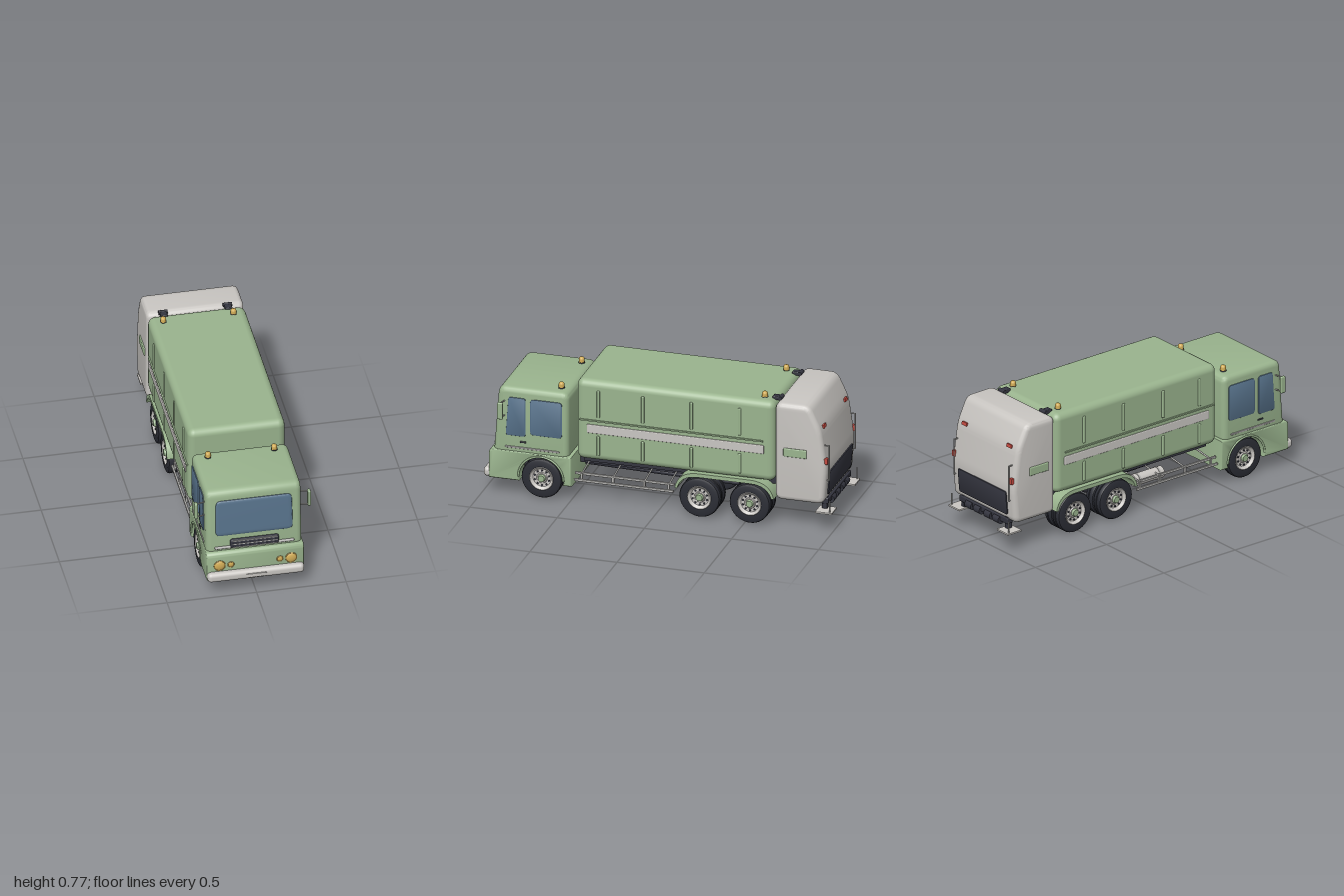
import * as THREE from 'three';
import { toCreasedNormals } from 'three/addons/utils/BufferGeometryUtils.js';
import { RoundedBoxGeometry } from 'three/addons/geometries/RoundedBoxGeometry.js';

const paint = (name, color) => {
  const m = new THREE.MeshStandardMaterial({ color });
  m.name = name;
  return m;
};

export function createModel() {
  const green = paint('green paint', 0x9ab48e), gray = paint('light gray paint', 0xc9c6c2);
  const glass = paint('blue glass', 0x58738c), dark = paint('dark chassis', 0x34353f);
  const rubber = paint('tyre rubber', 0x2b2d35), amber = paint('amber lamp', 0xd3ad57);
  const red = paint('red lamp', 0xc44a40), steel = paint('steel', 0xb2b1ae);

  const truck = new THREE.Group();
  truck.name = 'refuseTruck';
  const add = (name, geo, mat, x = 0, y = 0, z = 0, parent = truck) => {
    const mesh = new THREE.Mesh(geo, mat);
    mesh.name = name;
    mesh.position.set(x, y, z);
    parent.add(mesh);
    return mesh;
  };
  const box = (name, mat, w, h, d, x, y, z, r = 0) => add(name,
    r ? new RoundedBoxGeometry(w, h, d, 3, r) : new THREE.BoxGeometry(w, h, d), mat, x, y, z);
  // Cylinder between two points
  const rod = (name, mat, r, a, b, sides = 12) => {
    const p = new THREE.Vector3(...a), q = new THREE.Vector3(...b), d = q.clone().sub(p);
    const mesh = add(name, new THREE.CylinderGeometry(r, r, d.length(), sides), mat);
    mesh.position.copy(p.add(q).multiplyScalar(0.5));
    mesh.quaternion.setFromUnitVectors(new THREE.Vector3(0, 1, 0), d.normalize());
    return mesh;
  };
  // Polygon with softened corners
  const rounded = (pts, r) => {
    const s = new THREE.Shape(), v = pts.map(p => new THREE.Vector2(...p)), n = v.length;
    v.forEach((p, i) => {
      const toward = q => p.clone().add(q.clone().sub(p).setLength(Math.min(r, p.distanceTo(q) * 0.49)));
      const a = toward(v[(i + n - 1) % n]), b = toward(v[(i + 1) % n]);
      if (i) s.lineTo(a.x, a.y); else s.moveTo(a.x, a.y);
      s.quadraticCurveTo(p.x, p.y, b.x, b.y);
    });
    s.closePath();
    return s;
  };
  const slab = (shape, depth, bt, bs = bt) => {
    const g = new THREE.ExtrudeGeometry(shape, { depth: depth - 2 * bt, bevelEnabled: bt > 0, bevelThickness: bt,
      bevelSize: bs, bevelOffset: -bs, bevelSegments: 4, curveSegments: 8 });
    g.translate(0, 0, bt - depth / 2);
    return toCreasedNormals(g, 0.7);
  };
  // Side profile in (z, y), extruded across x
  const across = (name, mat, shape, width, bevel, x = 0) =>
    add(name, slab(shape, width, bevel).rotateY(-Math.PI / 2), mat, x);
  const rect = (w, h) => [[-w / 2, -h / 2], [w / 2, -h / 2], [w / 2, h / 2], [-w / 2, h / 2]];
  // Plate lying on a sloped face
  const plate = (name, mat, pts, r, depth, bt, bs, pos, normal) => {
    const mesh = add(name, slab(rounded(pts, r), depth, bt, bs), mat, ...pos);
    mesh.lookAt(mesh.position.clone().add(new THREE.Vector3(...normal)));
    return mesh;
  };
  const sides = [1, -1];

  // Cab
  across('upperCab', green, rounded([[0.51, 0.23], [0.942, 0.23], [0.912, 0.637], [0.51, 0.637]], 0.045), 0.534, 0.03);
  const lower = new THREE.Shape();
  lower.moveTo(0.966, 0.09);
  lower.lineTo(0.966, 0.235);
  lower.quadraticCurveTo(0.962, 0.265, 0.935, 0.265);
  lower.lineTo(0.49, 0.265);
  lower.lineTo(0.49, 0.09);
  lower.lineTo(0.54, 0.09);
  lower.absarc(0.665, 0.118, 0.128, Math.PI + 0.22, -0.22, true);
  lower.closePath();
  across('lowerCab', green, lower, 0.546, 0.012);
  const slope = [0, 0.03, 0.407];
  plate('windscreen', glass, [[-0.216, -0.111], [0.216, -0.111], [0.212, 0.111], [-0.212, 0.111]], 0.03, 0.016,
    0.007, 0.022, [0, 0.468, 0.925], slope);
  box('frontTrim', steel, 0.444, 0.015, 0.02, 0, 0.283, 0.938, 0.006);
  box('grille', dark, 0.272, 0.056, 0.03, 0, 0.303, 0.937, 0.013);
  for (const y of [0.284, 0.304, 0.324]) box('grilleBar', steel, 0.25, 0.005, 0.006, 0, y, 0.951);
  box('frontBumper', gray, 0.54, 0.056, 0.06, 0, 0.118, 0.968, 0.022);
  plate('blankPlate', gray, rect(0.114, 0.024), 0.006, 0.008, 0.002, 0.002, [0, 0.117, 0.997], [0, 0, 1]);
  box('engineBlock', dark, 0.34, 0.15, 0.3, 0, 0.175, 0.665, 0.01);

  const lamp = (name, r, x, y) => {
    const m = add(name, new THREE.SphereGeometry(r, 24, 8, 0, Math.PI * 2, 0, Math.PI / 2), amber, x, y, 0.965);
    m.rotation.x = Math.PI / 2;
    m.scale.y = 0.4;
    const ring = add('lampRing', new THREE.TorusGeometry(r, 0.0025, 8, 24), amber, x, y, 0.967);
    ring.name = name + 'Ring';
  };
  const beaconShape = [[0.016, 0], [0.016, 0.018], [0.014, 0.026], [0.008, 0.031], [0, 0.032]].map(p => new THREE.Vector2(...p));
  const beacon = (x, y, z) => {
    add('beaconBase', new THREE.CylinderGeometry(0.018, 0.018, 0.008, 16), dark, x, y + 0.002, z);
    add('beacon', new THREE.LatheGeometry(beaconShape, 20), amber, x, y + 0.004, z);
  };

  for (const s of sides) {
    lamp('headlight', 0.031, s * 0.2, 0.183);
    lamp('foglight', 0.017, s * 0.137, 0.183);
    beacon(s * 0.185, 0.636, 0.573);
    beacon(s * 0.196, 0.733, -0.597);
    // Doors
    across('frontSideWindow', glass, rounded([[0.753, 0.355], [0.867, 0.355], [0.852, 0.581], [0.753, 0.581]], 0.016), 0.012, 0.003, s * 0.266);
    across('rearSideWindow', glass, rounded([[0.544, 0.37], [0.727, 0.37], [0.727, 0.581], [0.544, 0.581]], 0.022), 0.012, 0.003, s * 0.266);
    box('doorHandle', dark, 0.012, 0.009, 0.036, s * 0.267, 0.322, 0.768, 0.003);
    box('doorTrim', steel, 0.01, 0.011, 0.31, s * 0.267, 0.286, 0.715, 0.004);
    const arch = add('wheelArchLip', new THREE.TorusGeometry(0.129, 0.006, 8, 32, Math.PI), green, s * 0.272, 0.118, 0.665);
    arch.rotation.y = Math.PI / 2;
    // Mirrors
    box('mirror', green, 0.018, 0.099, 0.032, s * 0.316, 0.513, 0.885, 0.007);
    for (const y of [0.47, 0.556]) rod('mirrorArm', steel, 0.004, [s * 0.25, y, 0.87], [s * 0.316, y, 0.887], 8);
  }

  // Refuse body
  box('refuseBody', green, 0.544, 0.474, 1.137, 0, 0.5, -0.105, 0.04);
  box('subframe', dark, 0.4, 0.045, 1.1, 0, 0.25, -0.11);
  for (const s of sides) {
    for (const z of [0.335, 0.08, -0.198, -0.475]) {
      box('upperRib', green, 0.016, 0.161, 0.018, s * 0.271, 0.602, z, 0.006);
      box('lowerRib', green, 0.016, 0.118, 0.018, s * 0.271, 0.355, z, 0.006);
    }
    box('sideStripe', gray, 0.014, 0.051, 1.014, s * 0.271, 0.453, -0.107, 0.005);
    box('sideLedge', green, 0.018, 0.008, 1.05, s * 0.271, 0.503, -0.085);
    box('hopperHinge', dark, 0.04, 0.022, 0.05, s * 0.18, 0.735, -0.665, 0.005);
    rod('hingePin', dark, 0.012, [s * 0.18 - 0.025, 0.737, -0.685], [s * 0.18 + 0.025, 0.737, -0.685]);
  }

  // Rear hopper
  across('rearHopper', gray, rounded([[-0.677, 0.165], [-0.677, 0.738], [-0.872, 0.738], [-0.938, 0.6], [-0.972, 0.37],
    [-0.955, 0.165]].reverse(), 0.04), 0.544, 0.028);
  plate('rearPanel', dark, rect(0.42, 0.14), 0.015, 0.014, 0.003, 0.003, [0, 0.275, -0.964], [0, -0.017, -0.205]);
  for (const s of sides) {
    box('hopperSidePanel', green, 0.016, 0.05, 0.134, s * 0.271, 0.454, -0.793, 0.006);
    plate('upperTailLight', red, rect(0.042, 0.02), 0.004, 0.014, 0.002, 0.002, [s * 0.195, 0.605, -0.936], [0, 0.22, -1]);
    box('tailLight', red, 0.022, 0.036, 0.022, s * 0.25, 0.42, -0.965, 0.004);
    rod('grabBar', steel, 0.004, [s * 0.238, 0.3, -0.978], [s * 0.238, 0.51, -0.978], 8);
    for (const y of [0.302, 0.508]) rod('grabBarMount', steel, 0.004, [s * 0.238, y, -0.94], [s * 0.238, y, -0.978], 8);
    // Rear steps
    box('rearStep', gray, 0.095, 0.009, 0.095, s * 0.213, 0.113, -0.9525);
    rod('stepPost', steel, 0.004, [s * 0.25, 0.113, -0.985], [s * 0.25, 0.185, -0.985], 8);
    box('stepBracket', dark, 0.025, 0.07, 0.03, s * 0.19, 0.15, -0.94);
  }
  box('rearBeam', dark, 0.42, 0.035, 0.04, 0, 0.165, -0.945, 0.006);
  for (const x of [-0.12, -0.045, 0.045, 0.12])
    rod('rearBuffer', dark, 0.024, [x - 0.026, 0.152, -0.955], [x + 0.026, 0.152, -0.955], 16);

  // Chassis
  for (const s of sides) {
    box('chassisRail', dark, 0.035, 0.06, 1.5, s * 0.09, 0.207, -0.1);
    // Rear mudguard over both axles
    const guard = new THREE.Shape();
    guard.moveTo(-0.103, 0.165);
    guard.quadraticCurveTo(-0.12, 0.262, -0.235, 0.264);
    guard.lineTo(-0.54, 0.264);
    guard.quadraticCurveTo(-0.652, 0.262, -0.672, 0.165);
    guard.lineTo(-0.657, 0.165);
    guard.quadraticCurveTo(-0.635, 0.24, -0.54, 0.242);
    guard.lineTo(-0.235, 0.242);
    guard.quadraticCurveTo(-0.135, 0.24, -0.118, 0.165);
    guard.closePath();
    across('rearMudguard', green, guard, 0.155, 0, s * 0.199);
    // Side guard
    for (const [x, y] of [[0.235, 0.165], [0.25, 0.13]]) box('sideGuardRail', steel, 0.012, 0.014, 0.57, s * x, y, 0.195, 0.003);
    for (const z of [0.44, 0.26, 0.08, -0.06]) {
      box('sideGuardPost', steel, 0.01, 0.045, 0.012, s * 0.242, 0.147, z);
      rod('sideGuardBracket', steel, 0.005, [s * 0.09, 0.185, z], [s * 0.236, 0.165, z], 8);
    }
  }
  for (const z of [0.4, 0.15, -0.1, -0.385, -0.62]) box('crossMember', dark, 0.2, 0.04, 0.04, 0, 0.207, z);
  rod('airTank', gray, 0.034, [-0.18, 0.152, -0.06], [-0.18, 0.152, 0.14], 20);
  for (const z of [-0.03, 0.11]) rod('tankStrap', steel, 0.036, [-0.18, 0.152, z - 0.006], [-0.18, 0.152, z + 0.006], 20);
  rod('driveShaft', dark, 0.016, [0, 0.14, 0.55], [0, 0.118, -0.52]);

  // Wheels, with the outer face towards +x
  const tyreShape = [[0.068, -0.031], [0.1, -0.032], [0.112, -0.027], [0.116, -0.02], [0.116, -0.004], [0.112, -0.002],
    [0.112, 0.002], [0.116, 0.004], [0.116, 0.02], [0.112, 0.027], [0.1, 0.032], [0.068, 0.031]].map(p => new THREE.Vector2(...p));
  const rimShape = [[0, -0.02], [0.06, -0.02], [0.07, -0.03], [0.072, 0.028], [0.066, 0.033], [0.06, 0.026], [0.052, 0.018],
    [0.032, 0.018], [0.028, 0.024], [0, 0.024]].map(p => new THREE.Vector2(...p));
  const tyreGeo = toCreasedNormals(new THREE.LatheGeometry(tyreShape, 40), 0.6).rotateZ(-Math.PI / 2);
  const rimGeo = toCreasedNormals(new THREE.LatheGeometry(rimShape, 40), 0.6).rotateZ(-Math.PI / 2);
  const hubGeo = new THREE.CylinderGeometry(0.018, 0.024, 0.018, 20).rotateZ(-Math.PI / 2);
  const boltGeo = new THREE.CylinderGeometry(0.0055, 0.0055, 0.008, 8).rotateZ(-Math.PI / 2);
  const wheel = (name, x, z, s) => {
    const g = new THREE.Group();
    g.name = name;
    g.position.set(s * x, 0.116, z);
    if (s < 0) g.rotation.y = Math.PI;
    truck.add(g);
    add('tyre', tyreGeo, rubber, 0, 0, 0, g);
    add('rim', rimGeo, gray, 0, 0, 0, g);
    add('hub', hubGeo, green, 0.028, 0, 0, g);
    for (let i = 0; i < 10; i++) {
      const a = i * Math.PI / 5;
      add('wheelBolt', boltGeo, dark, 0.02, 0.043 * Math.cos(a), 0.043 * Math.sin(a), g);
    }
  };
  for (const s of sides) {
    wheel('frontWheel', 0.231, 0.665, s);
    for (const z of [-0.24, -0.528]) {
      wheel('rearOuterWheel', 0.231, z, s);
      wheel('rearInnerWheel', 0.164, z, s);
    }
  }
  for (const z of [0.665, -0.24, -0.528]) {
    rod('axle', dark, 0.02, [-0.22, 0.116, z], [0.22, 0.116, z], 16);
    add('differential', new THREE.SphereGeometry(0.044, 20, 14), dark, 0, 0.116, z);
  }
  return truck;
}
